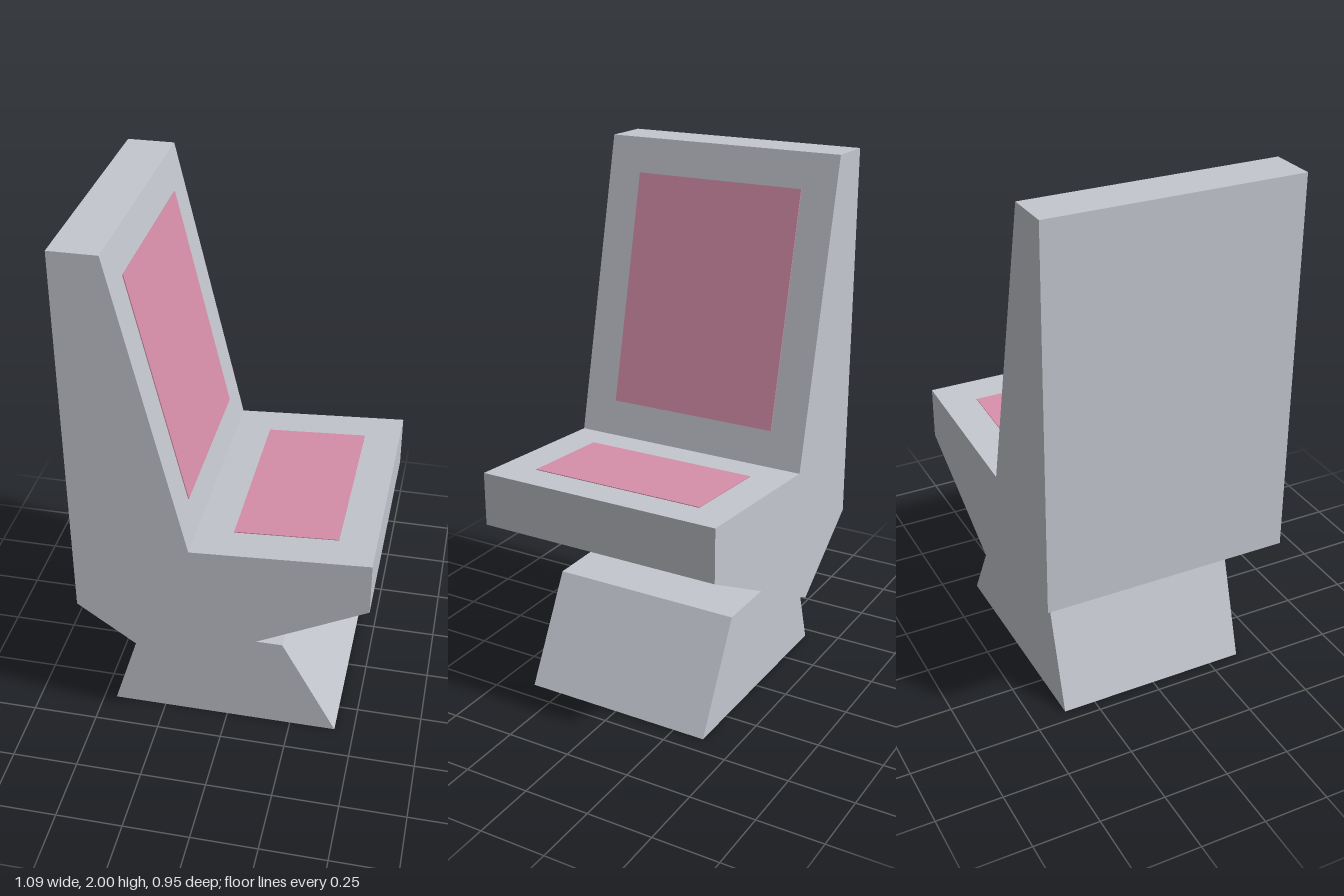
import * as THREE from 'three';

export function createModel() {
  const group = new THREE.Group();
  const shellGrey = new THREE.MeshStandardMaterial({ color: 0xc3c6ce });
  shellGrey.name = 'shellGrey';
  const cushionPink = new THREE.MeshStandardMaterial({ color: 0xd78fa9 });
  cushionPink.name = 'cushionPink';

  // Side profile in x/y, extruded evenly about z = 0
  function prism(name, points, width) {
    const shape = new THREE.Shape(points.map(([x, y]) => new THREE.Vector2(x, y)));
    const geometry = new THREE.ExtrudeGeometry(shape, { depth: width, bevelEnabled: false });
    geometry.translate(0, 0, -width / 2);
    const mesh = new THREE.Mesh(geometry, shellGrey);
    mesh.name = name;
    group.add(mesh);
  }

  // Thin cushion panel lying on the sloping face between two profile points
  function panel(name, [x0, y0], [x1, y1], width) {
    const thickness = 0.006;
    const length = Math.hypot(x1 - x0, y1 - y0);
    const mesh = new THREE.Mesh(new THREE.BoxGeometry(length, thickness, width), cushionPink);
    mesh.position.set((x0 + x1) / 2, (y0 + y1) / 2, 0);
    mesh.rotation.z = Math.atan2(y1 - y0, x1 - x0);
    mesh.name = name;
    group.add(mesh);
  }

  // Seat and backrest in one piece, facing +x
  prism('seatShell', [
    [-0.545, 0.557], [-0.208, 0.314], [0.541, 0.705], [0.541, 0.91],
    [-0.112, 0.869], [-0.37, 2], [-0.545, 2],
  ], 0.95);

  // Tapered pedestal
  prism('pedestal', [[-0.452, 0], [0.426, 0], [0.214, 0.398], [-0.329, 0.398]], 0.746);

  // Cushions
  panel('backCushion', [-0.142, 1.002], [-0.34, 1.87], 0.68);
  panel('seatCushion', [0.025, 0.878], [0.405, 0.901], 0.68);

  return group;
}
